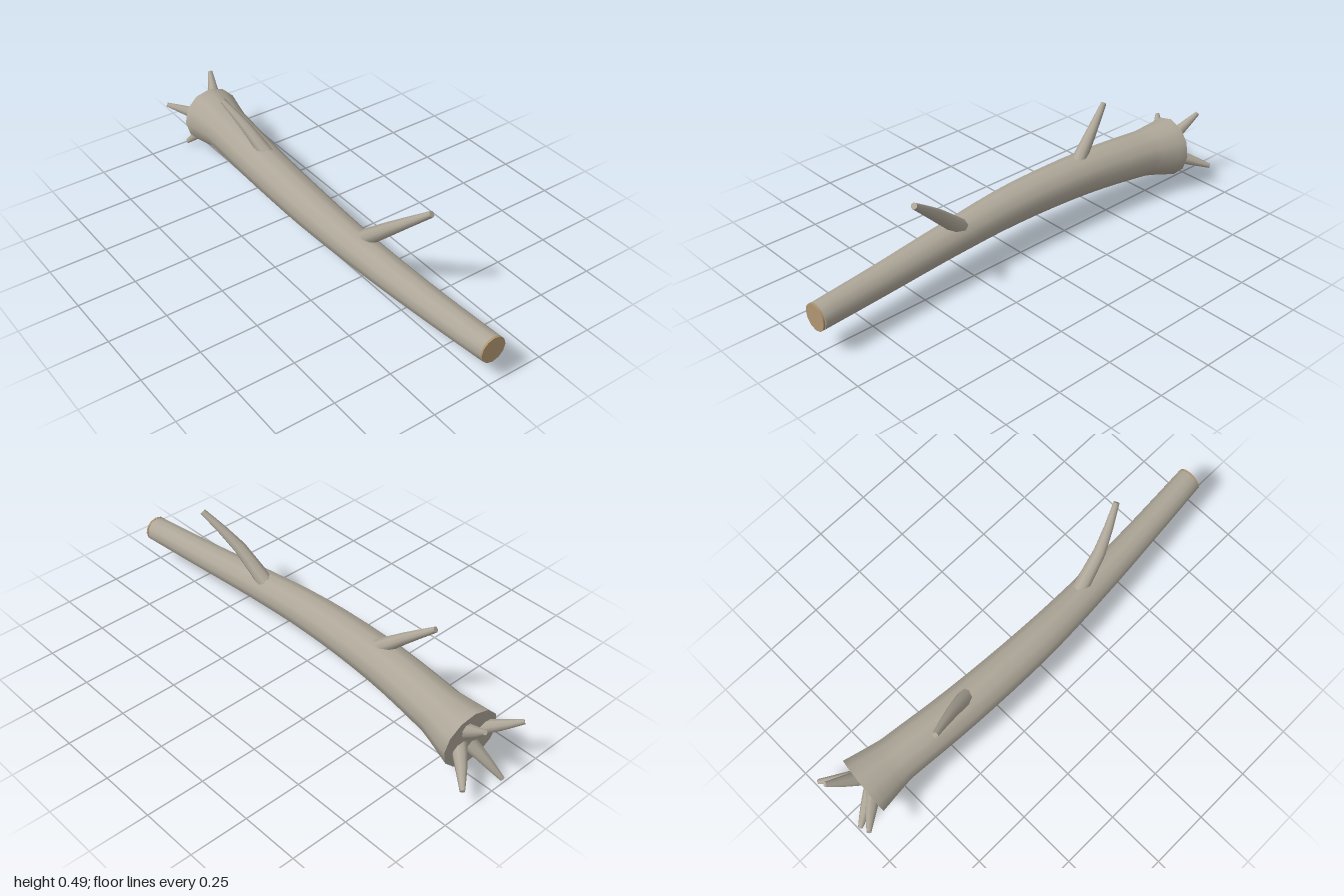
import * as THREE from 'three';

// Tapered round limb swept through stations [x, y, z, radius], closed by flat ends.
function limb(stations, sides, steps, reference) {
  const curve = new THREE.CatmullRomCurve3(stations.map(s => new THREE.Vector3(s[0], s[1], s[2])));
  const last = stations.length - 1, rings = last * steps;
  const pos = [], index = [], ends = [];
  for (let k = 0; k <= rings; k++) {
    const t = k / rings, f = t * last, i = Math.min(Math.floor(f), last - 1);
    const r = THREE.MathUtils.lerp(stations[i][3], stations[i + 1][3], f - i);
    const c = curve.getPoint(t), T = curve.getTangent(t);
    const U = reference.clone().addScaledVector(T, -reference.dot(T)).normalize();
    const V = T.clone().cross(U);
    const ring = [];
    for (let j = 0; j < sides; j++) {
      const a = j / sides * Math.PI * 2;
      const p = c.clone().addScaledVector(U, r * Math.cos(a)).addScaledVector(V, r * Math.sin(a));
      ring.push(p);
      pos.push(p.x, p.y, p.z);
      if (k < rings) {
        const q = k * sides + j, n = k * sides + (j + 1) % sides;
        index.push(q, n, q + sides, n, n + sides, q + sides);
      }
    }
    if (k === 0 || k === rings) ends.push({ c, ring, flip: k === 0 });
  }
  // Flat ends have their own corners so their rims stay sharp
  for (const { c, ring, flip } of ends) {
    const base = pos.length / 3;
    for (const p of [c, ...ring]) pos.push(p.x, p.y, p.z);
    for (let j = 0; j < sides; j++) {
      const a = base + 1 + j, b = base + 1 + (j + 1) % sides;
      if (flip) index.push(base, b, a); else index.push(base, a, b);
    }
  }
  const g = new THREE.BufferGeometry();
  g.setAttribute('position', new THREE.Float32BufferAttribute(pos, 3));
  g.setIndex(index);
  g.computeVertexNormals();
  return g;
}

export function createModel() {
  const bark = new THREE.MeshStandardMaterial({ color: 0xaea799 });
  bark.name = 'weathered bark';
  const wood = new THREE.MeshStandardMaterial({ color: 0xb09672 });
  wood.name = 'cut wood';

  const group = new THREE.Group();
  group.name = 'fallenLog';
  const add = (name, geometry, material) => {
    const mesh = new THREE.Mesh(geometry, material);
    mesh.name = name;
    group.add(mesh);
    return mesh;
  };
  const up = new THREE.Vector3(0, 1, 0), side = new THREE.Vector3(0, 0, 1);

  // Bowed trunk, flared at the root end
  add('trunk', limb([
    [-0.88, 0.185, -0.002, 0.129],
    [-0.72, 0.199, 0.013, 0.1],
    [-0.4, 0.212, 0.044, 0.092],
    [0, 0.208, 0.058, 0.083],
    [0.35, 0.191, 0.045, 0.071],
    [0.7, 0.177, 0.018, 0.062],
    [0.993, 0.172, -0.008, 0.056],
  ], 12, 4, up), bark);

  // Sawn face at the thin end
  const cut = add('cutFace', new THREE.CylinderGeometry(0.056, 0.056, 0.009, 12), wood);
  cut.rotation.z = -Math.PI / 2;
  cut.position.set(0.9955, 0.173, -0.008);

  // Two branch stubs
  add('shortBranch', limb([
    [-0.32, 0.24, 0.03, 0.036],
    [-0.46, 0.36, 0.07, 0.024],
    [-0.58, 0.452, 0.112, 0.012],
  ], 8, 2, side), bark);
  add('longBranch', limb([
    [0.25, 0.2, 0.034, 0.037],
    [0.42, 0.355, 0.006, 0.027],
    [0.575, 0.488, -0.06, 0.013],
  ], 8, 2, side), bark);

  // Curved roots spreading from the flared end; each entry is the tip's [y, z] offset
  const spread = [[0.15, -0.07], [0.058, 0.16], [-0.078, -0.16], [-0.172, 0.07]];
  spread.forEach(([dy, dz], i) => {
    const at = (x, f, r) => [x, 0.185 + dy * f, dz * f, r];
    add('root' + (i + 1), limb([
      at(-0.85, 0.2, 0.034),
      at(-0.93, 0.64, 0.022),
      at(-0.99, 1, 0.01),
    ], 8, 2, up.clone().multiplyScalar(dz).addScaledVector(side, -dy).normalize()), bark);
  });

  return group;
}
